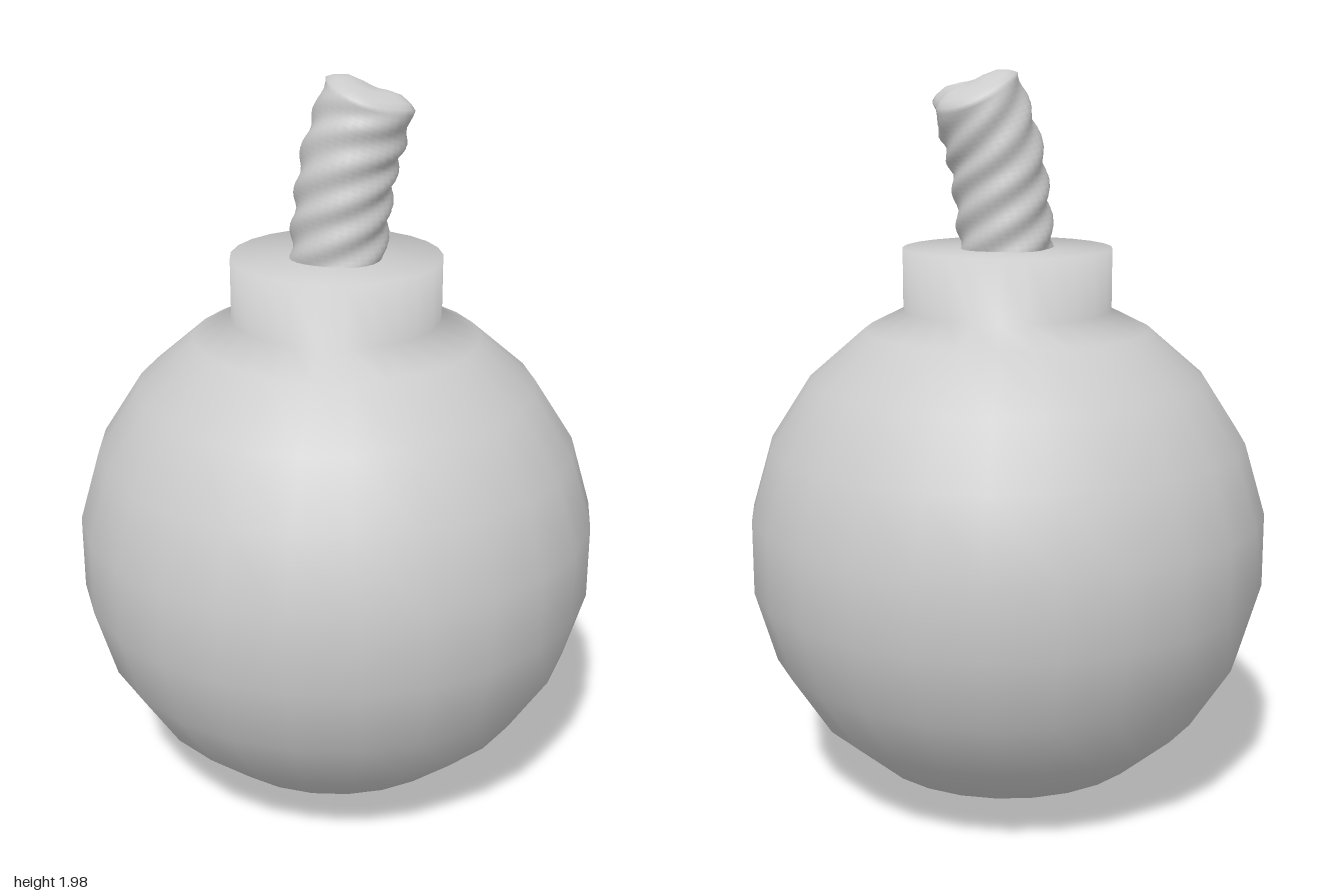
import * as THREE from 'three';
import { mergeVertices } from 'three/addons/utils/BufferGeometryUtils.js';

const material = new THREE.MeshStandardMaterial({ color: 0xcccccc, roughness: 0.8 });

// Round body with its collar as one smooth lathe
function createBody() {
  const R = 0.708, rings = 11;
  const profile = [];
  for (let i = 0; i <= 9; i++) {
    const a = (i / rings) * Math.PI;
    profile.push(new THREE.Vector2(R * Math.sin(a), R - R * Math.cos(a)));
  }
  profile.push(new THREE.Vector2(0.28, 1.355), new THREE.Vector2(0.28, 1.52), new THREE.Vector2(0, 1.52));
  const mesh = new THREE.Mesh(new THREE.LatheGeometry(profile, 25, Math.PI / 2), material);
  mesh.name = 'bodyWithCollar';
  return mesh;
}

// Twisted rope fuse: a straight lathe wound with strands, then bent along a curve
function createFuse() {
  const path = new THREE.CatmullRomCurve3([
    new THREE.Vector3(0, 1.48, 0),
    new THREE.Vector3(0.012, 1.62, 0),
    new THREE.Vector3(0.035, 1.77, 0),
    new THREE.Vector3(0.09, 1.925, 0),
  ]);
  const length = path.getLength();
  const rows = 36;
  const profile = [];
  for (let i = 0; i <= rows; i++) profile.push(new THREE.Vector2(0.124, (i / rows) * length));
  // Rounded tip
  [[0.108, 0.013], [0.075, 0.028], [0.035, 0.03], [0, 0.027]].forEach(([r, h]) =>
    profile.push(new THREE.Vector2(r, length + h)));

  let geometry = new THREE.LatheGeometry(profile, 36);
  geometry.deleteAttribute('uv');
  geometry.deleteAttribute('normal');
  geometry = mergeVertices(geometry, 1e-5);

  const pos = geometry.attributes.position;
  const v = new THREE.Vector3();
  for (let i = 0; i < pos.count; i++) {
    v.fromBufferAttribute(pos, i);
    const s = Math.min(v.y, length);
    const over = v.y - s;
    const r = Math.hypot(v.x, v.z);
    const angle = Math.atan2(v.z, v.x);
    // Four strands, fading toward the tip
    const fade = 1 - 0.5 * THREE.MathUtils.smoothstep(s, length * 0.8, length);
    let scale = 1 + 0.055 * fade * Math.sin(4 * angle + (2 * Math.PI * s) / 0.095);
    // Frayed notch on one side of the tip, and a slightly uneven crown
    const tip = THREE.MathUtils.smoothstep(s, length - 0.09, length);
    const notch = tip * Math.exp(-(((angle - 0.2) / 0.3) ** 2));
    scale -= 0.22 * notch;
    const lift = over - 0.025 * notch * (r / 0.124) + 0.012 * tip * Math.sin(2 * angle + 0.6) * (r / 0.124);

    const u = s / length;
    const centre = path.getPointAt(u);
    const tangent = path.getTangentAt(u);
    const side = new THREE.Vector3(tangent.y, -tangent.x, 0);
    centre.addScaledVector(side, v.x * scale).addScaledVector(tangent, lift);
    pos.setXYZ(i, centre.x, centre.y, v.z * scale);
  }
  geometry.computeVertexNormals();
  const mesh = new THREE.Mesh(geometry, material);
  mesh.name = 'fuse';
  return mesh;
}

export function createModel() {
  const group = new THREE.Group();
  group.name = 'roundBomb';
  group.add(createBody(), createFuse());
  return group;
}
